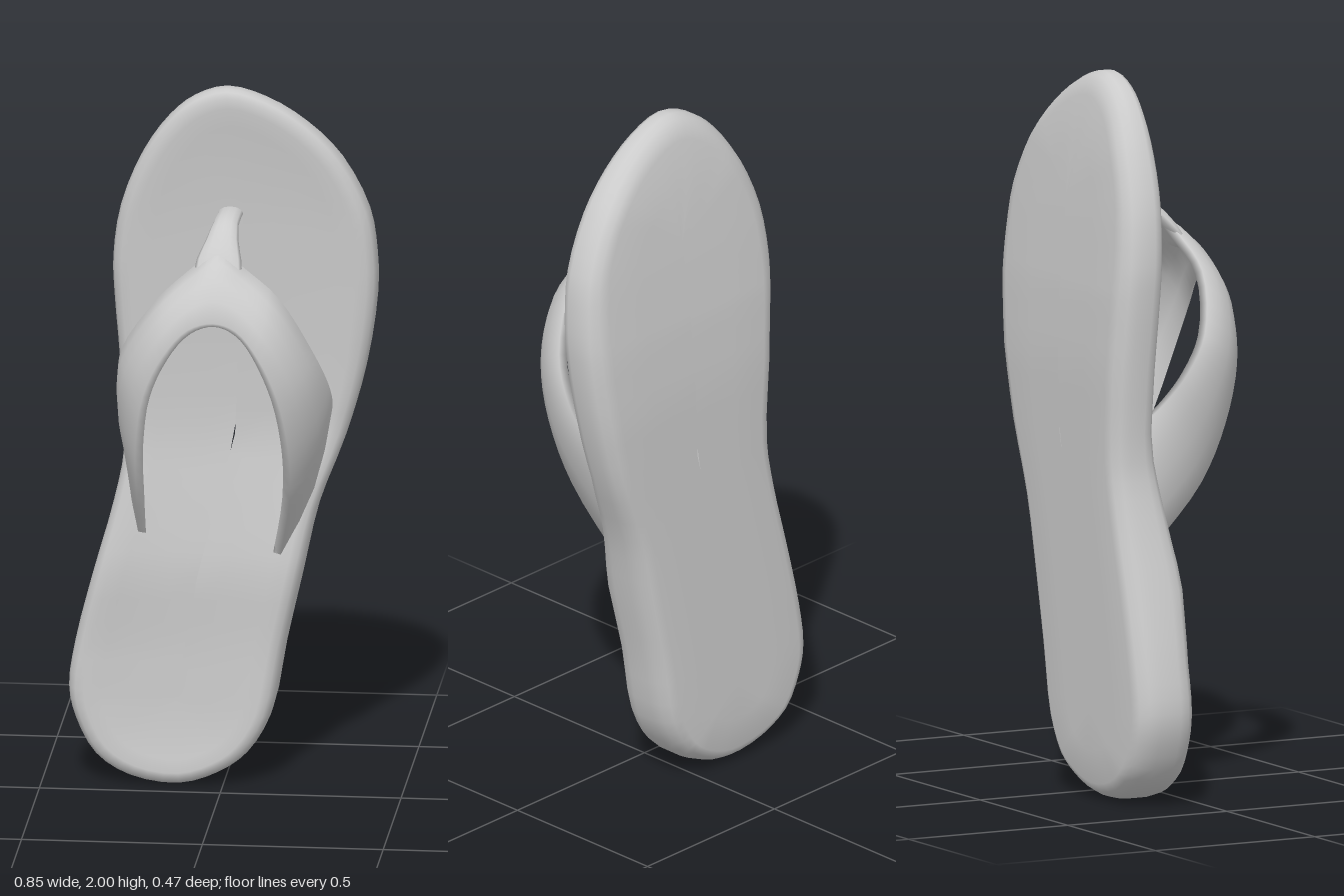
import * as THREE from 'three';

const V = (x, y, z) => new THREE.Vector3(x, y, z);

// piecewise-linear lookup in [key, value] pairs
function lookup(table, t) {
  for (let i = 1; i < table.length; i++) {
    const [a, va] = table[i - 1], [b, vb] = table[i];
    if (t <= b) return va + (vb - va) * THREE.MathUtils.clamp((t - a) / (b - a), 0, 1);
  }
  return table[table.length - 1][1];
}

// skin a list of closed rings, optionally capping both ends
function loft(rings, name, caps) {
  const n = rings[0].length, pos = [], idx = [];
  rings.forEach(r => r.forEach(p => pos.push(p.x, p.y, p.z)));
  for (let i = 0; i < rings.length - 1; i++) {
    for (let j = 0; j < n; j++) {
      const a = i * n + j, b = i * n + (j + 1) % n;
      idx.push(a, a + n, b + n, a, b + n, b);
    }
  }
  if (caps) {
    const e = (rings.length - 1) * n;
    for (let j = 1; j < n - 1; j++) idx.push(0, j, j + 1, e, e + j + 1, e + j);
  }
  const g = new THREE.BufferGeometry();
  g.setAttribute('position', new THREE.Float32BufferAttribute(pos, 3));
  g.setIndex(idx);
  g.computeVertexNormals();
  const mesh = new THREE.Mesh(g, new THREE.MeshStandardMaterial({ color: 0xcccccc }));
  mesh.name = name;
  return mesh;
}

// sole: one outline, inset towards a spine and swept from footbed to underside
function makeSole() {
  const outline = [
    [-0.12, 0], [-0.01, 0.035], [0.065, 0.09], [0.13, 0.2], [0.17, 0.4], [0.215, 0.6], [0.26, 0.8],
    [0.335, 1.0], [0.39, 1.2], [0.42, 1.4], [0.42, 1.52], [0.4, 1.65], [0.325, 1.8], [0.23, 1.9],
    [0.12, 1.97], [0.01, 2.0], [-0.08, 1.97], [-0.15, 1.91], [-0.225, 1.8], [-0.285, 1.65],
    [-0.307, 1.5], [-0.305, 1.4], [-0.29, 1.2], [-0.278, 0.95], [-0.305, 0.8], [-0.36, 0.6],
    [-0.41, 0.4], [-0.428, 0.27], [-0.41, 0.18], [-0.355, 0.08], [-0.26, 0.02],
  ].map(([x, y]) => V(x, y, 0));
  const edge = new THREE.CatmullRomCurve3(outline, true).getPoints(93).slice(0, -1);
  const spine = [[0.25, -0.13], [0.6, -0.07], [1.0, 0.03], [1.65, 0.055]];
  const front = [[0, -0.05], [0.4, -0.055], [0.62, -0.045], [0.8, -0.07], [1.0, -0.1],
    [1.2, -0.095], [1.6, -0.075], [2, -0.05]];
  const back = [[0, -0.215], [0.1, -0.23], [0.6, -0.232], [1.2, -0.235], [1.4, -0.225],
    [1.6, -0.205], [1.8, -0.182], [2, -0.14]];
  // [inset, depth fraction]
  const levels = [[1, 0.1], [0.75, 0.095], [0.5, 0.07], [0.3, 0.035], [0.15, 0], [0.07, 0.03],
    [0.02, 0.13], [0, 0.28], [0, 0.62], [0.03, 0.8], [0.09, 0.94], [0.18, 1], [0.55, 1], [1, 1]];
  const rings = levels.map(([k, f]) => edge.map(p => {
    const sy = THREE.MathUtils.clamp(p.y, 0.25, 1.65);
    const q = p.clone().lerp(V(lookup(spine, sy), sy, 0), k);
    q.z = THREE.MathUtils.lerp(lookup(front, q.y), lookup(back, q.y), f);
    return q;
  }));
  return loft(rings, 'sole', false);
}

// strap: a bowed band between its toe-side and heel-side edges, running from -x to +x
function makeStrap() {
  const toeEdge = [
    [-0.235, 1.04, -0.13], [-0.26, 1.11, -0.06], [-0.28, 1.19, 0], [-0.265, 1.29, 0.06], [-0.16, 1.45, 0.11],
    [-0.06, 1.54, 0.09], [0.005, 1.59, 0.07], [0.07, 1.54, 0.09], [0.17, 1.46, 0.11],
    [0.265, 1.29, 0.07], [0.3, 1.18, 0], [0.305, 1.11, -0.06], [0.29, 1.04, -0.13],
  ].map(p => V(...p));
  const heelEdge = [
    [-0.235, 0.7, -0.09], [-0.225, 0.87, 0.07], [-0.22, 1.03, 0.15], [-0.195, 1.19, 0.2], [-0.14, 1.31, 0.22],
    [-0.07, 1.39, 0.22], [0, 1.41, 0.215], [0.065, 1.39, 0.22], [0.13, 1.31, 0.23],
    [0.18, 1.19, 0.215], [0.205, 1.03, 0.165], [0.2, 0.87, 0.085], [0.155, 0.64, -0.08],
  ].map(p => V(...p));
  const a = new THREE.CatmullRomCurve3(heelEdge), b = new THREE.CatmullRomCurve3(toeEdge);
  const rings = [], N = 48;
  for (let i = 0; i <= N; i++) {
    const t = i / N, p = a.getPoint(t), q = b.getPoint(t);
    const along = a.getTangent(t).add(b.getTangent(t));
    const n = along.cross(q.clone().sub(p)).normalize();
    const across = [0, 0.25, 0.5, 0.75, 1];
    const at = (s, bulge, off) => p.clone().lerp(q, s)
      .addScaledVector(n, bulge * Math.sin(Math.PI * s) + off);
    rings.push([
      ...across.map(s => at(s, 0.025, 0)),
      ...across.reverse().map(s => at(s, 0.025, -0.022)),
    ]);
  }
  return loft(rings, 'strap', true);
}

// toe post: flattened stem curving from the strap down into the sole
function makeToePost() {
  // [x, y, z, half width, half thickness]
  const stations = [[0.02, 1.635, -0.14, 0.036, 0.02], [0.02, 1.64, -0.06, 0.034, 0.02],
    [0.015, 1.63, 0, 0.036, 0.02], [0.01, 1.6, 0.045, 0.045, 0.02],
    [0.005, 1.555, 0.085, 0.062, 0.02], [0.005, 1.5, 0.125, 0.07, 0.012]];
  const path = new THREE.CatmullRomCurve3(stations.map(s => V(s[0], s[1], s[2])));
  const N = 15, M = 12, rings = [];
  for (let i = 0; i <= N; i++) {
    const t = i / N, c = path.getPoint(t), d = path.getTangent(t);
    const side = V(1, 0, 0), up = d.clone().cross(side).normalize();
    const u = t * (stations.length - 1);
    const w = lookup(stations.map((s, k) => [k, s[3]]), u);
    const h = lookup(stations.map((s, k) => [k, s[4]]), u);
    rings.push(Array.from({ length: M }, (_, j) => {
      const ang = -j / M * Math.PI * 2;
      return c.clone().addScaledVector(side, w * Math.cos(ang)).addScaledVector(up, h * Math.sin(ang));
    }));
  }
  return loft(rings, 'toePost', true);
}

export function createModel() {
  const group = new THREE.Group();
  group.name = 'flipFlop';
  group.add(makeSole(), makeStrap(), makeToePost());
  return group;
}
